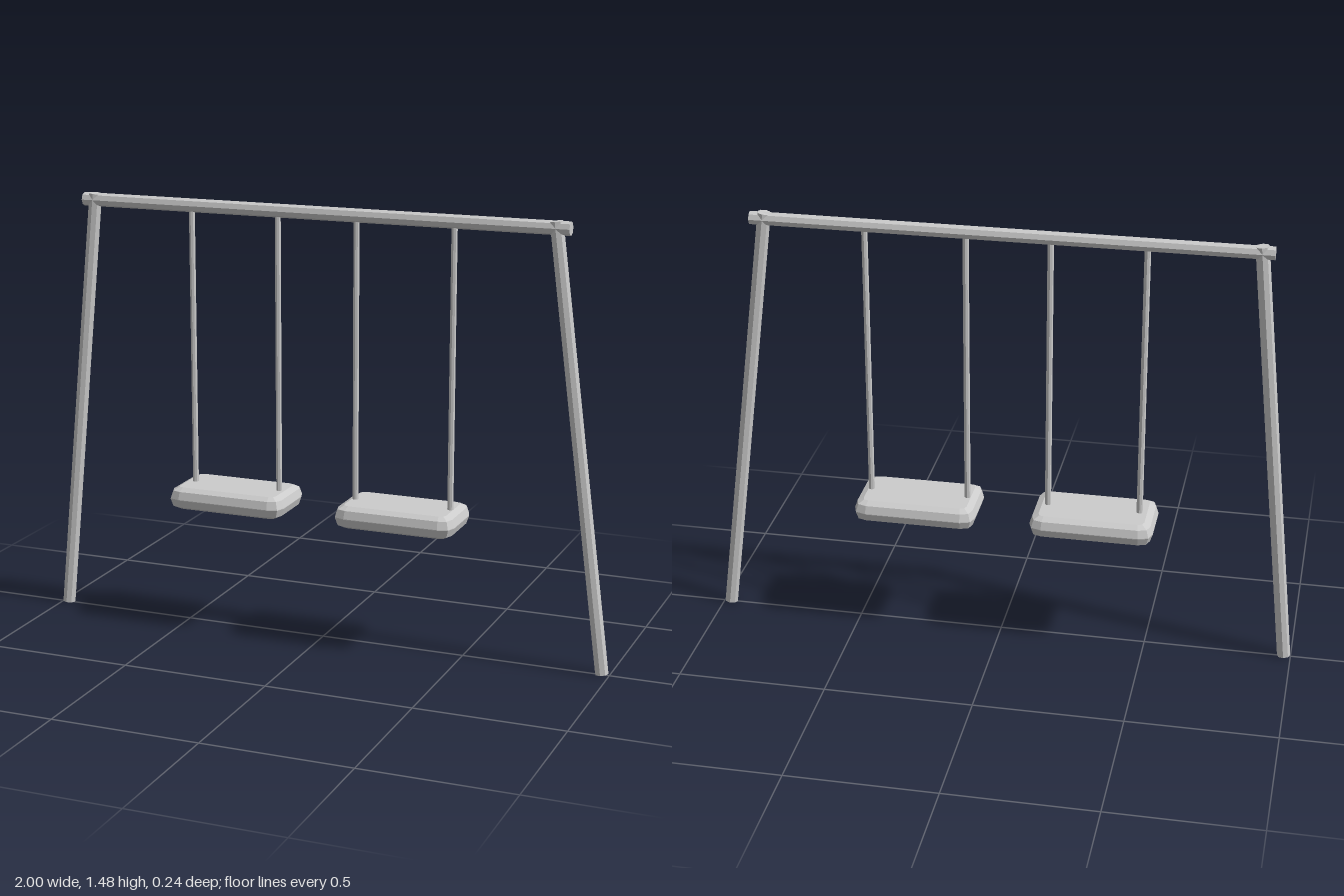
import * as THREE from 'three';

const material = new THREE.MeshStandardMaterial({ color: 0xcccccc, flatShading: true });

// Straight round bar between two points in the z = 0 plane
function bar(name, x1, y1, x2, y2, radius, sides = 8) {
  const a = new THREE.Vector3(x1, y1, 0);
  const b = new THREE.Vector3(x2, y2, 0);
  const mesh = new THREE.Mesh(new THREE.CylinderGeometry(radius, radius, a.distanceTo(b), sides), material);
  mesh.position.copy(a).lerp(b, 0.5);
  mesh.quaternion.setFromUnitVectors(new THREE.Vector3(0, 1, 0), b.clone().sub(a).normalize());
  mesh.name = name;
  return mesh;
}

// Padded seat: rounded rectangle with a two-step bevel above and below
function seatGeometry(width, depth, height) {
  const bevel = 0.03, corner = 0.02, flat = 0.002;
  const w = width / 2 - bevel, d = depth / 2 - bevel;
  const shape = new THREE.Shape();
  shape.moveTo(-w + corner, -d);
  shape.lineTo(w - corner, -d);
  shape.quadraticCurveTo(w, -d, w, -d + corner);
  shape.lineTo(w, d - corner);
  shape.quadraticCurveTo(w, d, w - corner, d);
  shape.lineTo(-w + corner, d);
  shape.quadraticCurveTo(-w, d, -w, d - corner);
  shape.lineTo(-w, -d + corner);
  shape.quadraticCurveTo(-w, -d, -w + corner, -d);
  const geometry = new THREE.ExtrudeGeometry(shape, {
    depth: flat, curveSegments: 2, bevelEnabled: true,
    bevelSize: bevel, bevelThickness: (height - flat) / 2, bevelSegments: 2,
  });
  geometry.translate(0, 0, -flat / 2);
  geometry.rotateX(-Math.PI / 2);
  return geometry;
}

export function createModel() {
  const model = new THREE.Group();
  model.name = 'swingSet';

  // Frame: top beam and two splayed legs
  model.add(bar('topBeam', -0.87, 1.452, 0.83, 1.452, 0.023));
  model.add(bar('rightLeg', -0.977, 0.003, -0.828, 1.473, 0.0225));
  model.add(bar('leftLeg', 0.975, 0.003, 0.782, 1.473, 0.0225));

  // Two swings, each a seat hung on two rods
  const seat = seatGeometry(0.415, 0.242, 0.076);
  const swings = [
    { name: 'rightSwing', x: -0.318, rods: [-0.47, -0.16] },
    { name: 'leftSwing', x: 0.282, rods: [0.116, 0.449] },
  ];
  for (const { name, x, rods } of swings) {
    const swing = new THREE.Group();
    swing.name = name;
    const seatMesh = new THREE.Mesh(seat, material);
    seatMesh.name = 'seat';
    seatMesh.position.set(x, 0.463, 0);
    swing.add(seatMesh);
    for (const rx of rods) swing.add(bar('hangingRod', rx, 0.47, rx, 1.45, 0.0105));
    model.add(swing);
  }
  return model;
}
